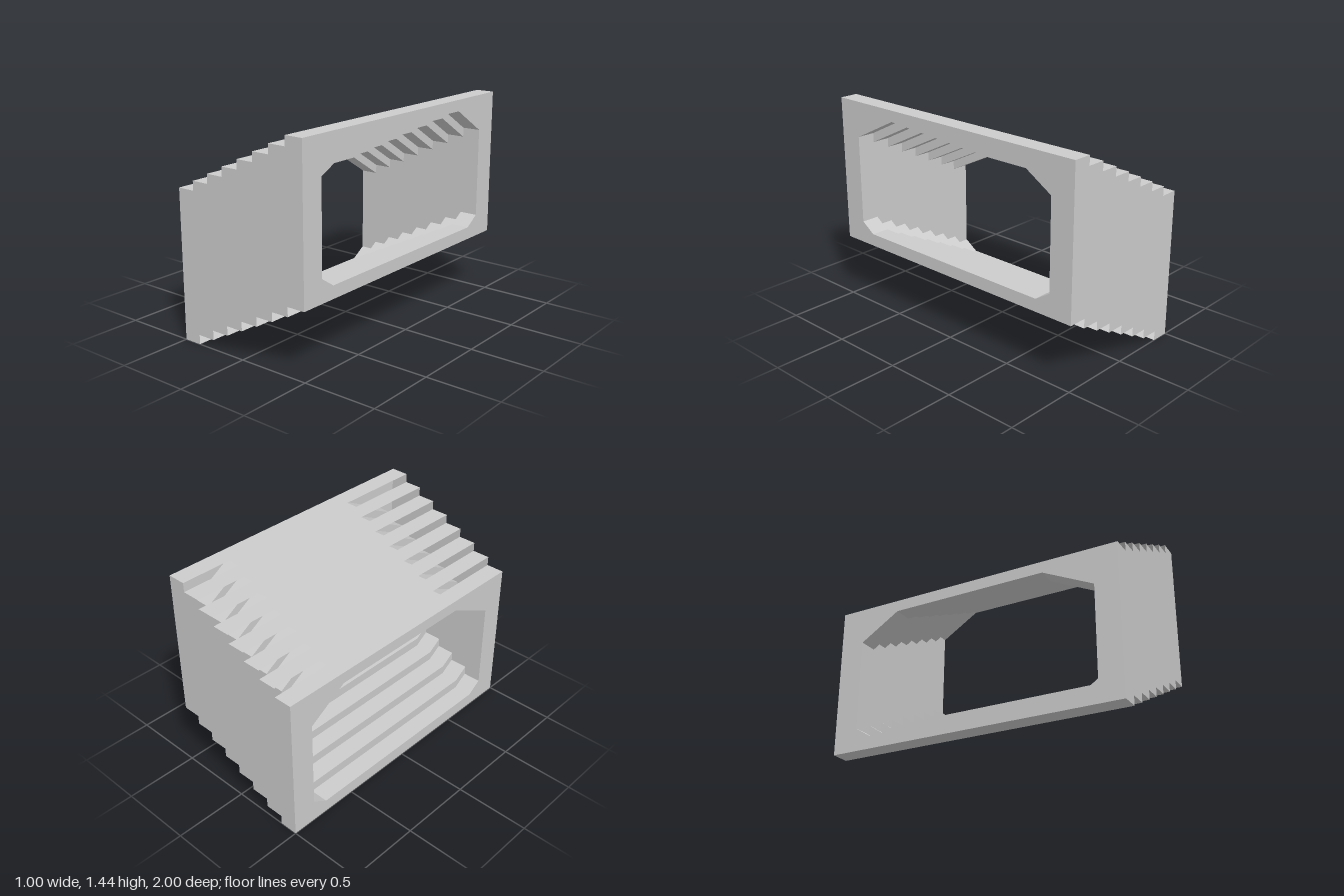
import * as THREE from 'three';

const STEPS = 8, RUN = 1 / STEPS, RISE = 1 / 16;
const HEIGHT = 1, HALF_X = 0.5, HALF_Z = 1;

// Opening outline at the lowest step, as [z, y], counter-clockwise seen from +x
const OPENING = [
  [0.74, 0.085], [-0.73, 0.085], [-0.835, 0.152], [-0.835, 0.757],
  [-0.565, 0.924], [0.5, 0.924], [0.84, 0.757], [0.84, 0.152],
];

const material = new THREE.MeshStandardMaterial({
  color: 0xcccccc, flatShading: true, side: THREE.DoubleSide,
});

function addMesh(group, name, geometry) {
  const mesh = new THREE.Mesh(geometry, material);
  mesh.name = name;
  group.add(mesh);
  return mesh;
}

// Stepped outline shared by the two side walls
function stairShape(side) {
  const lower = [];
  for (let i = 0; i < STEPS; i++) {
    const x = -HALF_X + i * RUN;
    lower.push([x, i * RISE], [x + RUN, i * RISE]);
  }
  const upper = lower.map(([x, y]) => [x, y + HEIGHT]).reverse();
  return new THREE.Shape([...lower, ...upper].map(([x, y]) => new THREE.Vector2(side * x, y)));
}

// Flat end frame with the opening cut out
function frameGeometry(side, lift) {
  const shape = new THREE.Shape([
    new THREE.Vector2(-HALF_Z, lift), new THREE.Vector2(HALF_Z, lift),
    new THREE.Vector2(HALF_Z, lift + HEIGHT), new THREE.Vector2(-HALF_Z, lift + HEIGHT),
  ]);
  shape.holes.push(new THREE.Path(OPENING.map(([z, y]) => new THREE.Vector2(-side * z, y + lift))));
  return new THREE.ShapeGeometry(shape)
    .rotateY(side * Math.PI / 2)
    .translate(side * HALF_X, 0, 0);
}

// Stepped inner lining: the opening is swept along x, then lifted, for each step
function tunnelGeometry() {
  const rings = [];
  for (let i = 0; i < STEPS; i++) {
    for (const k of [i, i + 1]) {
      rings.push(OPENING.map(([z, y]) => [-HALF_X + k * RUN, y + i * RISE, z]));
    }
  }
  const positions = [];
  for (let r = 0; r < rings.length - 1; r++) {
    for (let j = 0; j < OPENING.length; j++) {
      const n = (j + 1) % OPENING.length;
      const a = rings[r][j], b = rings[r][n], c = rings[r + 1][n], d = rings[r + 1][j];
      // Vertical walls have no riser
      if (r % 2 === 1 && a[2] === b[2]) continue;
      positions.push(...a, ...d, ...c, ...a, ...c, ...b);
    }
  }
  const geometry = new THREE.BufferGeometry();
  geometry.setAttribute('position', new THREE.Float32BufferAttribute(positions, 3));
  geometry.computeVertexNormals();
  return geometry;
}

export function createModel() {
  const model = new THREE.Group();
  model.name = 'steppedTunnel';

  // Side walls at front and back
  for (const side of [1, -1]) {
    const geometry = new THREE.ShapeGeometry(stairShape(1));
    if (side < 0) {
      geometry.dispose();
    }
    const wall = side > 0 ? geometry : new THREE.ShapeGeometry(stairShape(-1)).rotateY(Math.PI);
    addMesh(model, side > 0 ? 'frontWall' : 'backWall', wall.translate(0, 0, side * HALF_Z));
  }

  // End frames at the low and high ends
  addMesh(model, 'lowEndFrame', frameGeometry(-1, 0));
  addMesh(model, 'highEndFrame', frameGeometry(1, (STEPS - 1) * RISE));

  // Roof and floor treads, with open gaps between successive steps
  const treads = new THREE.Group();
  treads.name = 'treads';
  model.add(treads);
  for (let i = 0; i < STEPS; i++) {
    const x = -HALF_X + (i + 0.5) * RUN;
    for (const up of [1, -1]) {
      const geometry = new THREE.PlaneGeometry(RUN, 2 * HALF_Z).rotateX(-up * Math.PI / 2);
      const tread = addMesh(treads, up > 0 ? 'roofTread' : 'floorTread', geometry);
      tread.position.set(x, i * RISE + (up > 0 ? HEIGHT : 0), 0);
    }
  }

  addMesh(model, 'tunnelLining', tunnelGeometry());
  return model;
}
